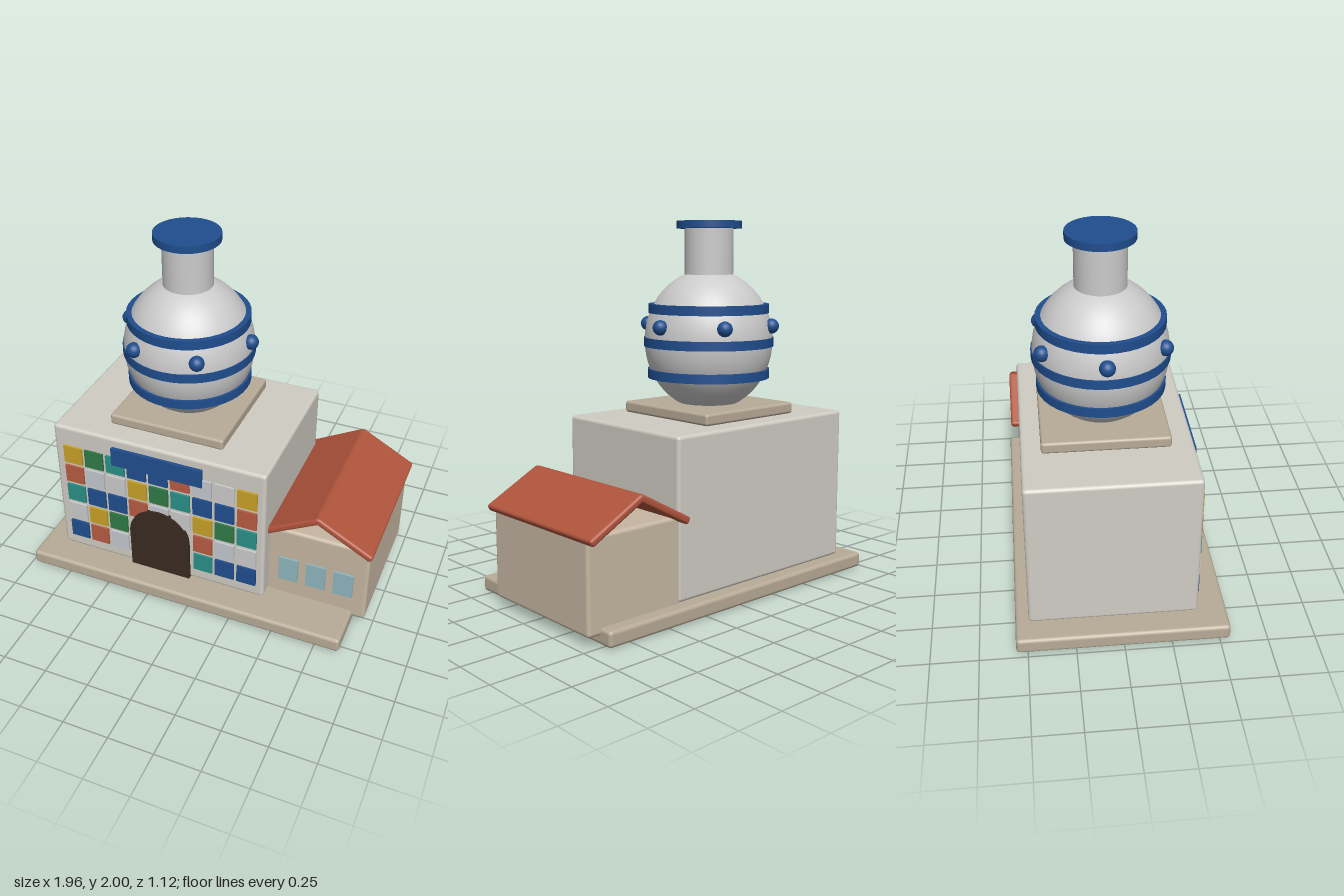
import * as THREE from 'three';
import { RoundedBoxGeometry } from 'three/addons/geometries/RoundedBoxGeometry.js';

const mat = (color) => new THREE.MeshStandardMaterial({ color });
const M = {
  stone: mat(0xb8ab97), wall: mat(0xcfccc3), annex: mat(0xc6b7a2), roof: mat(0xb0543c),
  pot: mat(0xcccccc), blue: mat(0x1f4e8f), door: mat(0x3a2a22), glass: mat(0x8fb6c0),
  yellow: mat(0xc9a227), green: mat(0x2f7a45), teal: mat(0x2a8f88), red: mat(0xb85c42),
  silver: mat(0xc4c8d0), white: mat(0xd4d4d4),
};

export function createModel() {
  const model = new THREE.Group();
  model.name = 'potteryBuilding';

  const add = (name, geometry, material, x, y, z, parent = model) => {
    const mesh = new THREE.Mesh(geometry, material);
    mesh.name = name;
    mesh.position.set(x, y, z);
    parent.add(mesh);
    return mesh;
  };
  const group = (name) => {
    const g = new THREE.Group();
    g.name = name;
    model.add(g);
    return g;
  };
  // Box given by its minimum and maximum corners; r rounds the edges
  const block = (name, material, [x0, y0, z0], [x1, y1, z1], r = 0, parent = model) => {
    const size = [x1 - x0, y1 - y0, z1 - z0];
    const geometry = r ? new RoundedBoxGeometry(...size, 3, r) : new THREE.BoxGeometry(...size);
    return add(name, geometry, material, (x0 + x1) / 2, (y0 + y1) / 2, (z0 + z1) / 2, parent);
  };

  // Ground slab and main hall
  block('groundSlab', M.stone, [-0.98, 0.005, -0.56], [0.89, 0.09, 0.555], 0.02);
  block('mainHall', M.wall, [-0.85, 0.09, -0.49], [0.4, 0.94, 0.4], 0.02);

  // Mosaic facade: eight colours repeating, shifted by five each row
  const mosaic = group('mosaic');
  const palette = [M.yellow, M.green, M.teal, M.blue, M.blue, M.red, M.silver, M.white];
  const tile = new THREE.BoxGeometry(0.112, 0.112, 0.02);
  for (let row = 0; row < 5; row++) {
    for (let col = 0; col < 9; col++) {
      if (row > 2 && col > 2 && col < 6) continue; // doorway
      add('tile', tile, palette[(col + row * 5) % 8],
        -0.735 + col * 0.1295, 0.763 - row * 0.134, 0.402, mosaic);
    }
  }

  // Sign board and arched doorway
  block('signBoard', M.blue, [-0.49, 0.775, 0.395], [0.045, 0.885, 0.42]);
  block('doorway', M.door, [-0.4, 0, 0.39], [-0.04, 0.34, 0.42]);
  const arch = add('doorArch', new THREE.CylinderGeometry(0.18, 0.18, 0.03, 32), M.door, -0.22, 0.34, 0.407);
  arch.rotation.x = Math.PI / 2;

  // Side annex with windows
  const annex = group('annex');
  block('annexWalls', M.annex, [0.38, 0.05, -0.485], [0.96, 0.54, 0.31], 0.02, annex);
  for (let i = 0; i < 3; i++) {
    const x = 0.515 + i * 0.156;
    block('window', M.glass, [x - 0.055, 0.195, 0.3], [x + 0.055, 0.35, 0.322], 0, annex);
  }

  // Pitched roof: two tilted slabs meeting at the ridge
  const pitch = 0.5;
  const slab = new RoundedBoxGeometry(0.36, 0.04, 0.89, 3, 0.015);
  for (const side of [-1, 1]) {
    const half = add('roofSlab', slab, M.roof, 0.67 + side * 0.146, 0.606, -0.095, annex);
    half.rotation.z = -side * pitch;
  }

  // Plinth under the pot
  block('plinth', M.stone, [-0.555, 0.942, -0.385], [0.11, 1.005, 0.28], 0.015);

  // Giant pot on the roof
  const pot = group('pot');
  pot.position.set(-0.22, 0, -0.052);
  const body = add('potBody', new THREE.SphereGeometry(0.355, 40, 28), M.pot, 0, 1.35, 0, pot);
  body.scale.y = 1.1;
  add('potNeck', new THREE.CylinderGeometry(0.134, 0.134, 0.28, 32), M.pot, 0, 1.83, 0, pot);
  add('potLid', new THREE.CylinderGeometry(0.178, 0.178, 0.04, 32), M.blue, 0, 1.98, 0, pot);
  for (const [y, r] of [[1.17, 0.338], [1.345, 0.36], [1.527, 0.333]]) {
    add('potBand', new THREE.CylinderGeometry(r, r, 0.05, 40), M.blue, 0, y, 0, pot);
  }
  const knob = new THREE.SphereGeometry(0.041, 16, 12);
  for (let i = 0; i < 6; i++) {
    const a = (i * Math.PI) / 3;
    add('potKnob', knob, M.blue, 0.355 * Math.cos(a), 1.435, 0.355 * Math.sin(a), pot);
  }

  return model;
}
